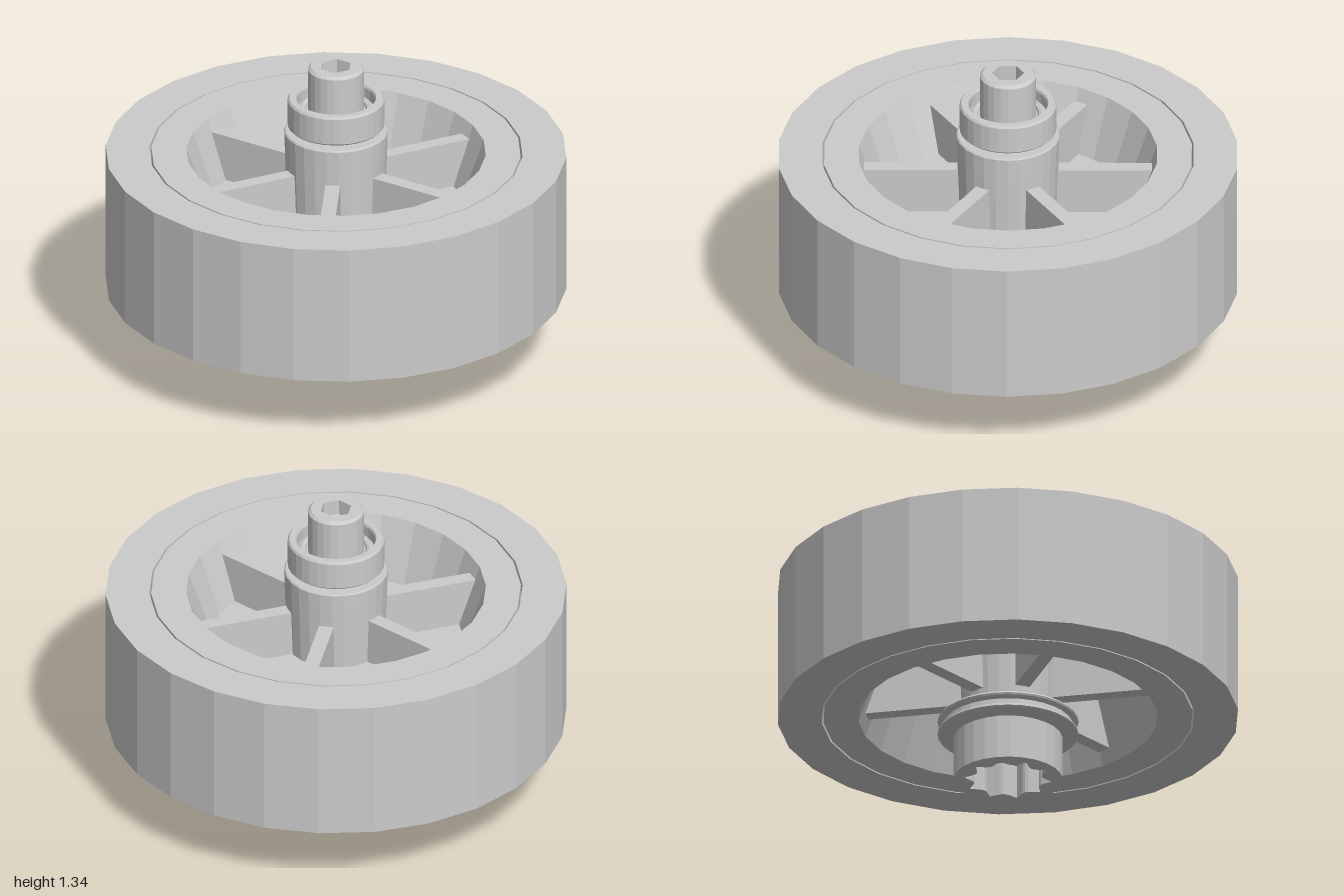
import * as THREE from 'three';

const material = new THREE.MeshStandardMaterial({ color: 0xcccccc, flatShading: true });

export function createModel() {
  const model = new THREE.Group();

  const add = (name, geometry) => {
    const mesh = new THREE.Mesh(geometry, material);
    mesh.name = name;
    model.add(mesh);
    return mesh;
  };

  // Turned part: profile of [radius, height], counterclockwise
  const turn = (name, profile, sides = 26, start = Math.PI / 2) =>
    add(name, new THREE.LatheGeometry(
      profile.map(([r, y]) => new THREE.Vector2(r, y)), sides, start));

  // Closed outline from a radius function of the angle
  const outline = (Type, count, radius, offset = 0) => {
    const points = [];
    for (let i = 0; i < count; i++) {
      const a = offset + (i / count) * Math.PI * 2;
      points.push(new THREE.Vector2(Math.cos(a) * radius(a), Math.sin(a) * radius(a)));
    }
    return new Type(points);
  };

  // Upright extrusion of a round outline with a hole
  const pierced = (name, radius, sides, hole, y0, y1) => {
    const shape = outline(THREE.Shape, sides, () => radius);
    shape.holes.push(hole);
    const geometry = new THREE.ExtrudeGeometry(shape, { depth: y1 - y0, bevelEnabled: false });
    geometry.rotateX(-Math.PI / 2).translate(0, y0, 0);
    return add(name, geometry);
  };

  // Tyre and rim, separated by a hairline gap
  turn('tyre', [[0.81, 0.3], [1, 0.3], [1, 0.93], [0.81, 0.93], [0.81, 0.3]]);
  turn('rim', [
    [0.65, 0.3], [0.802, 0.3], [0.802, 0.93], [0.65, 0.93],
    [0.555, 0.66], [0.555, 0.57], [0.65, 0.3],
  ]);
  turn('web', [[0, 0.57], [0.57, 0.57], [0.57, 0.66], [0, 0.66]]);

  // Three full-width ribs give six spokes on each side of the web
  for (let i = 0; i < 3; i++) {
    for (const side of [0, Math.PI]) {
      const rib = new THREE.BoxGeometry(0.45, 0.51, 0.065).translate(0.405, 0.615, 0);
      add('rib', rib.rotateY(Math.PI / 2 + side + (i * Math.PI) / 3));
    }
  }

  // Hub with a recessed upper end
  turn('hub', [
    [0, 0.29], [0.2, 0.29], [0.21, 0.6], [0.222, 0.93], [0.225, 1.03],
    [0.22, 1.037], [0.18, 1.037], [0, 1.037],
  ]);
  turn('neck', [[0.14, 1.03], [0.14, 1.07]]);

  // Collar with an open top around the bolt
  turn('collar', [
    [0.1, 1.055], [0.203, 1.055], [0.21, 1.062], [0.21, 1.18], [0.203, 1.19],
    [0.175, 1.19], [0.17, 1.18], [0.17, 1.13], [0.1, 1.13],
  ], 32);
  const washer = add('washer', new THREE.TorusGeometry(0.147, 0.018, 8, 32));
  washer.rotation.x = Math.PI / 2;
  washer.position.y = 1.13;

  // Bolt head with chamfered edge and hexagonal socket
  turn('boltHead', [[0.122, 1.05], [0.122, 1.328], [0.11, 1.34]], 24);
  pierced('boltTop', 0.11, 24, outline(THREE.Path, 6, () => 0.07, Math.PI / 6), 1.2, 1.34);
  turn('socketFloor', [[0.072, 1.27], [0, 1.245]], 6, 0);

  // Grooved flange below the hub
  turn('flange', [
    [0, 0.205], [0.22, 0.205], [0.3, 0.21], [0.306, 0.216], [0.304, 0.224], [0.285, 0.235],
    [0.283, 0.257], [0.302, 0.268], [0.306, 0.276], [0.3, 0.284], [0.215, 0.286],
    [0.2, 0.3], [0, 0.3],
  ], 32);
  turn('lowerNeck', [[0.22, 0.19], [0.22, 0.21]]);

  // Bottom nut with a lobed socket
  const lobes = (a) => 0.19 - 0.04 * Math.abs(Math.sin(5 * a));
  pierced('nut', 0.237, 26, outline(THREE.Path, 80, lobes), 0, 0.195);
  turn('nutFloor', [[0, 0.15], [0.2, 0.15], [0.2, 0.19], [0, 0.19]]);

  return model;
}
